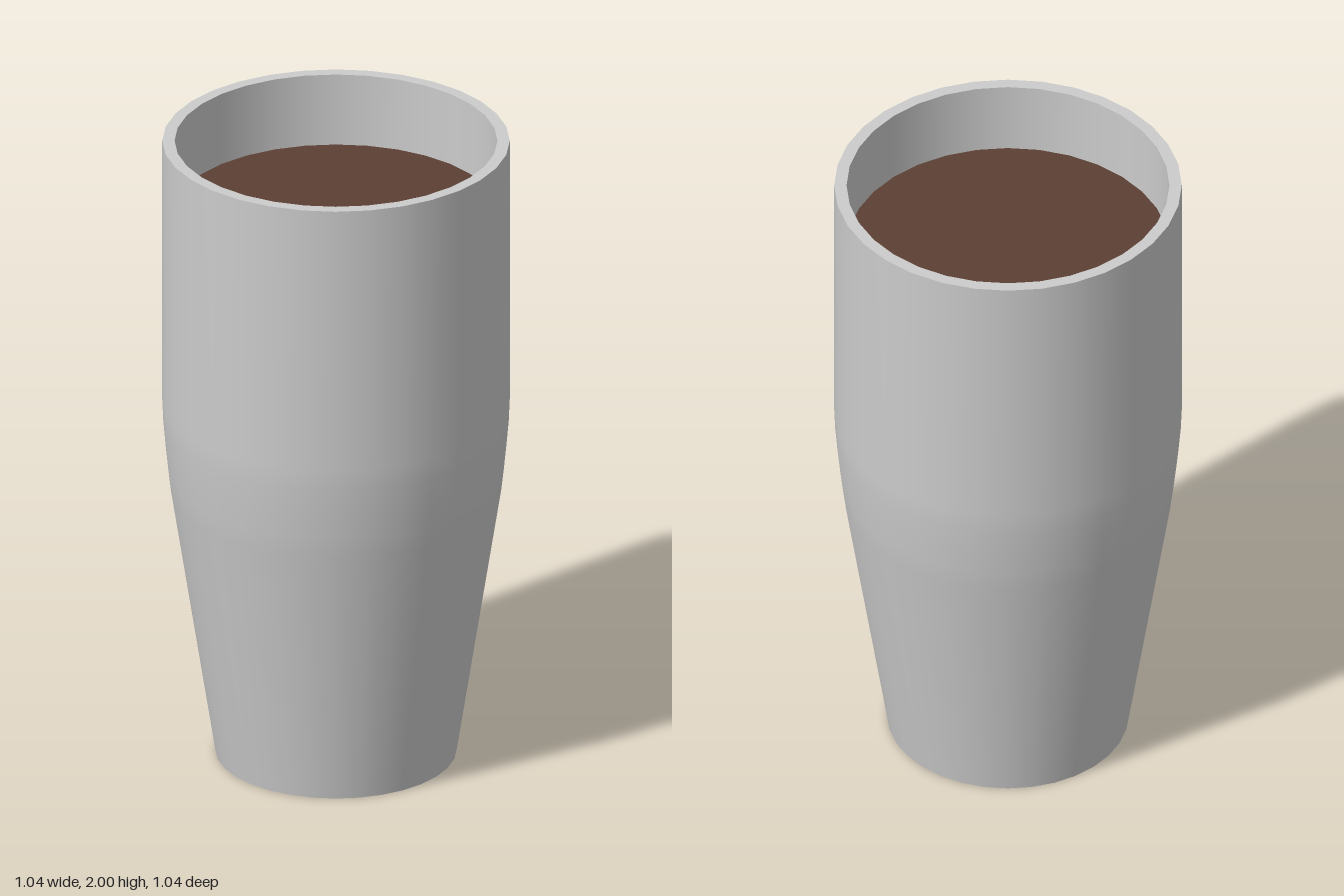
import * as THREE from 'three';

const SIDES = 32;

export function createModel() {
  const model = new THREE.Group();
  const cupMaterial = new THREE.MeshStandardMaterial({ color: 0xcccccc });
  const drinkMaterial = new THREE.MeshStandardMaterial({ color: 0x5c4033 });

  // Each section is its own lathe, so the edges between sections stay sharp
  const addLathe = (name, profile, material, parent) => {
    const points = profile.map(([r, y]) => new THREE.Vector2(r, y));
    const mesh = new THREE.Mesh(new THREE.LatheGeometry(points, SIDES), material);
    mesh.name = name;
    parent.add(mesh);
  };

  const cup = new THREE.Group();
  cup.name = 'cup';
  model.add(cup);

  // Tapered foot easing into a straight upper wall
  const outer = [[0.362, 0], [0.495, 0.85], [0.503, 0.92], [0.511, 1.0], [0.518, 1.08], [0.521, 1.15], [0.521, 2]];
  const wall = 0.037;
  const inner = outer.map(([r, y]) => [r - wall, Math.max(y, 0.05)]).reverse();

  addLathe('base', [[0, 0], outer[0]], cupMaterial, cup);
  addLathe('outerWall', outer, cupMaterial, cup);
  addLathe('rim', [[0.521, 2], [0.521 - wall, 2]], cupMaterial, cup);
  addLathe('innerWall', inner, cupMaterial, cup);
  addLathe('innerFloor', [inner.at(-1), [0, 0.05]], cupMaterial, cup);

  // Drink surface a little below the rim
  addLathe('drink', [[0.521 - wall, 1.77], [0, 1.77]], drinkMaterial, model);

  return model;
}
